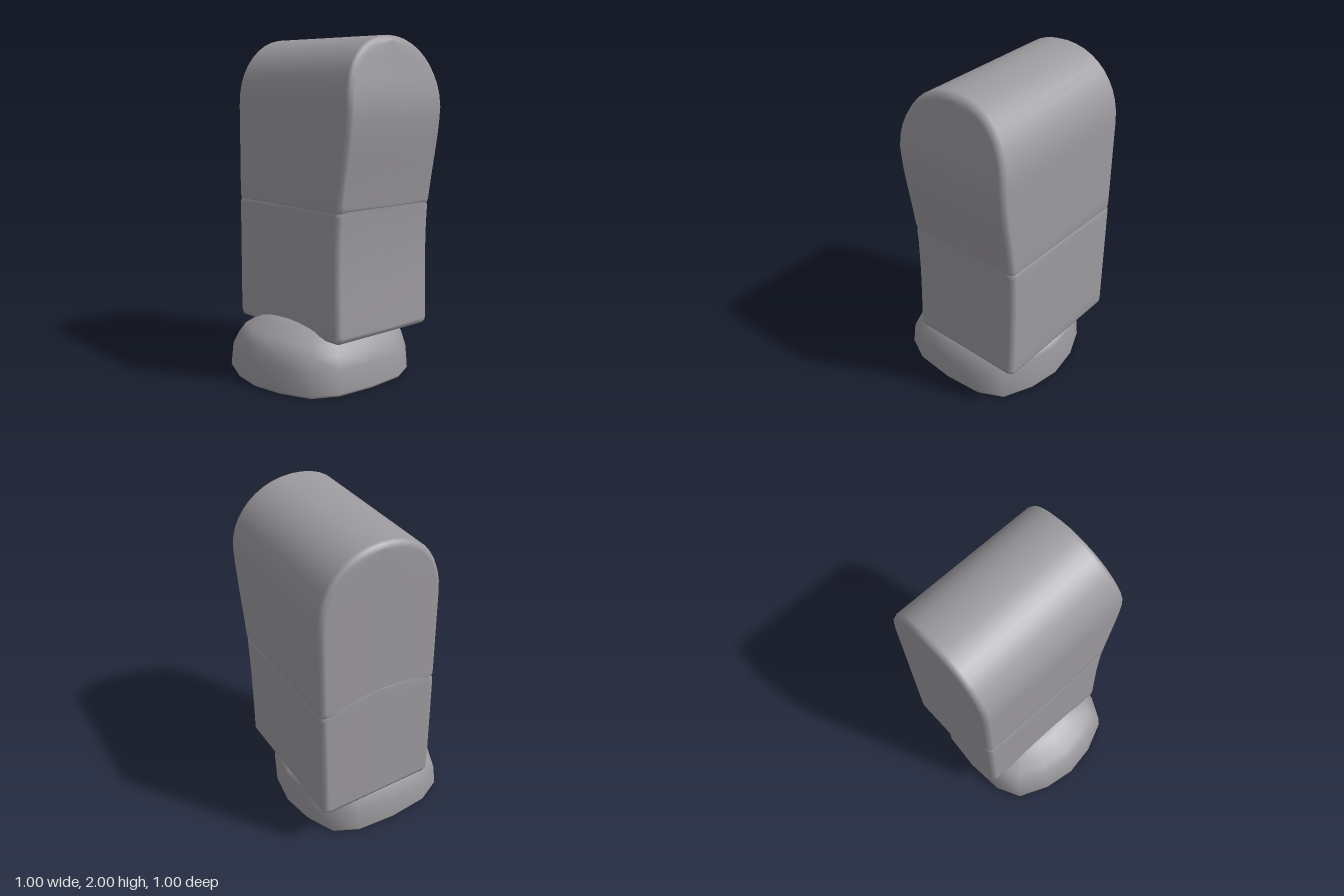
import * as THREE from 'three';

const gray = new THREE.MeshStandardMaterial({ color: 0x9d9b9f });
gray.name = 'gray';

const Z_MID = -0.1245, HALF_DEPTH = 0.3695, BEVEL = 0.03;

// Outline of the curved outer side: [height, x]
const OUTER = [[0.28, 0.416], [0.45, 0.41], [0.7, 0.405], [0.9, 0.408], [1.03, 0.416], [1.2, 0.443],
  [1.4, 0.479], [1.5, 0.493], [1.6, 0.501], [1.7, 0.493], [1.82, 0.472], [1.92, 0.456], [2.0, 0.443]];

function outerX(y) {
  for (let i = 1; i < OUTER.length; i++) {
    const [ya, xa] = OUTER[i - 1], [yb, xb] = OUTER[i];
    if (y <= yb) return xa + (xb - xa) * Math.max(0, (y - ya) / (yb - ya));
  }
  return OUTER[OUTER.length - 1][1];
}

// Joins closed rings of equal length into one smooth surface
function loft(rings) {
  const n = rings[0].length, index = [];
  for (let i = 0; i < rings.length - 1; i++) {
    for (let j = 0; j < n; j++) {
      const k = (j + 1) % n;
      const a = i * n + j, b = (i + 1) * n + j, c = (i + 1) * n + k, d = i * n + k;
      index.push(a, b, c, a, c, d);
    }
  }
  const geometry = new THREE.BufferGeometry();
  geometry.setAttribute('position', new THREE.Float32BufferAttribute(rings.flat(2), 3));
  geometry.setIndex(index);
  geometry.computeVertexNormals();
  return geometry;
}

// Limb block: arched side profile carried along x, with bevelled ends
function limb(bottom, spring, top, inner, outerInset) {
  const rows = [[bottom, HALF_DEPTH - BEVEL], [bottom + 0.009, HALF_DEPTH - 0.009], [bottom + BEVEL, HALF_DEPTH]];
  for (let i = 1; i <= 7; i++) {
    rows.push([bottom + BEVEL + (spring - bottom - BEVEL) * i / 7, HALF_DEPTH]);
  }
  for (let i = 1; i <= 10; i++) {
    // slightly fuller than an ellipse
    const a = i / 10 * Math.PI / 2;
    rows.push([spring + (top - spring) * Math.sin(a) ** 0.92, i === 10 ? 0 : HALF_DEPTH * Math.cos(a) ** 0.92]);
  }
  const profile = [...rows, ...rows.slice(0, -1).reverse().map(([y, w]) => [y, -w])];
  const mid = (bottom + top) / 2, half = (top - bottom) / 2;

  // side, distance in from the end, inset of the profile, width scale
  const stations = [[-1, 0, BEVEL, 0], [-1, 0, BEVEL, 1], [-1, 0.009, 0.009, 1], [-1, BEVEL, 0, 1],
    [1, BEVEL, 0, 1], [1, 0.009, 0.009, 1], [1, 0, BEVEL, 1], [1, 0, BEVEL, 0]];
  return loft(stations.map(([side, distance, inset, scale]) => profile.map(([y, w]) => {
    const py = mid + (y - mid) * (1 - inset / half);
    const pz = Z_MID + Math.sign(w) * Math.max(0, Math.abs(w) - inset) * scale;
    const px = side < 0 ? inner + distance : outerX(py) - outerInset - distance;
    return [px, py, pz];
  })));
}

// Domed foot: a rounded plan stacked in shrinking layers
function footGeometry() {
  const quarter = [[0, 0.498], [0.195, 0.467], [0.378, 0.387], [0.453, 0.24]];
  const front = [...quarter, [0.4725, 0]];
  const right = [...front, ...quarter.slice().reverse().map(([x, z]) => [x, -z])];
  const plan = [...right, ...right.slice(1, -1).reverse().map(([x, z]) => [-x, z])].reverse();
  // height, scale, scale of the steep heel
  const layers = [[0, 0, 0], [0, 0.985, 0.985], [0.015, 1, 1], [0.15, 0.975, 0.985], [0.22, 0.91, 0.97],
    [0.28, 0.83, 0.955], [0.345, 0.58, 0.58], [0.368, 0.42, 0.42], [0.38, 0, 0]];
  // reversed so that the faces look outward
  return loft(layers.map(([y, s, heel]) =>
    plan.map(([x, z]) => [-0.0275 - x * s, y, z * (z < 0 ? heel : s)]).reverse()));
}

export function createModel() {
  const model = new THREE.Group();
  model.name = 'leg';
  const add = (name, geometry) => {
    const mesh = new THREE.Mesh(geometry, gray);
    mesh.name = name;
    model.add(mesh);
  };
  add('upperLeg', limb(1.012, 1.6, 2.0, -0.5, 0));
  // The arched top of the lower leg tucks into the upper leg
  add('lowerLeg', limb(0.285, 1.01, 1.12, -0.501, 0.002));
  add('foot', footGeometry());
  return model;
}
